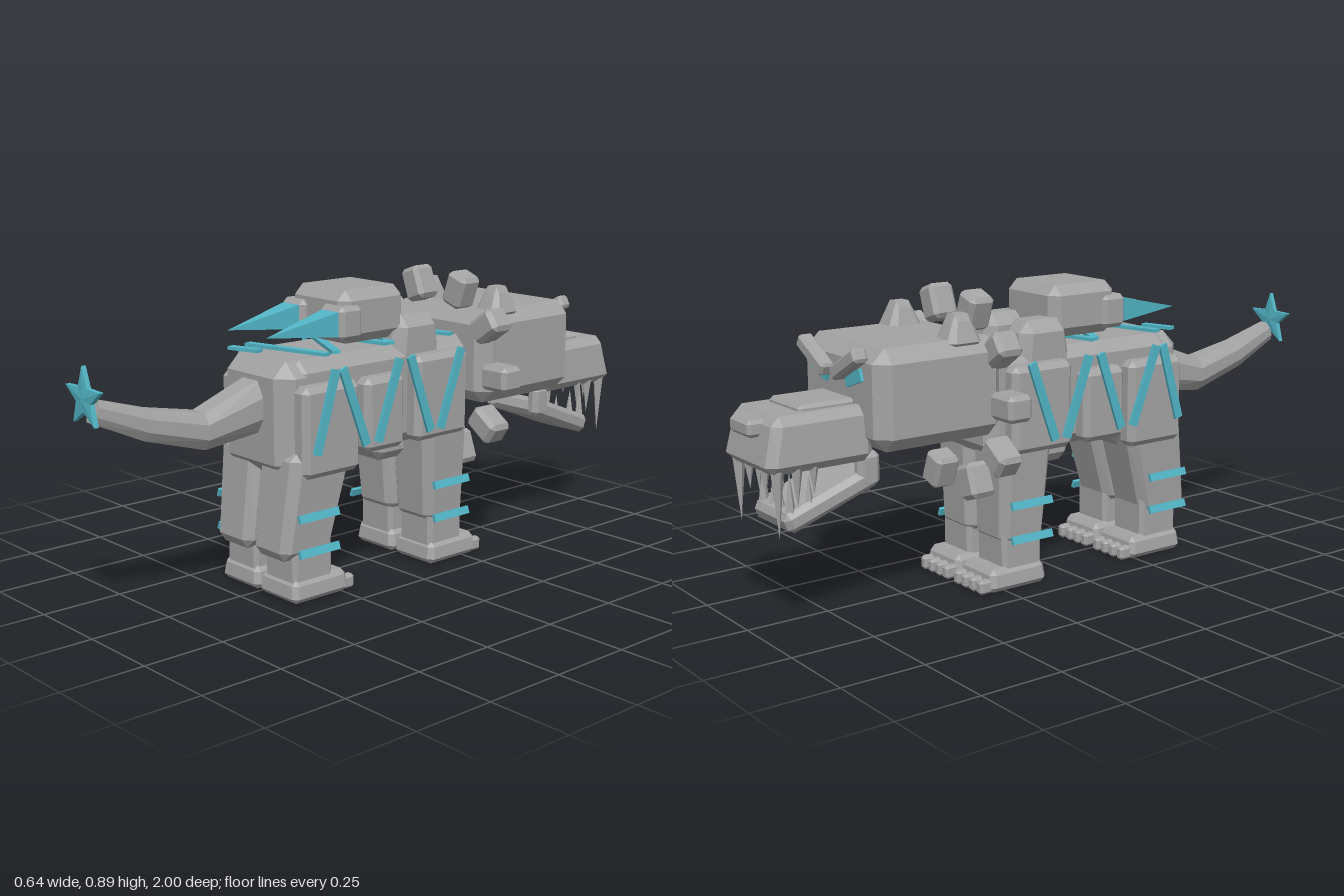
import * as THREE from 'three';
import { ConvexGeometry } from 'three/addons/geometries/ConvexGeometry.js';

const grey = new THREE.MeshStandardMaterial({ color: 0xa3a3a3 });
grey.name = 'armour grey';
const teal = new THREE.MeshStandardMaterial({ color: 0x52b5c6 });
teal.name = 'energy teal';

export function createModel() {
  const model = new THREE.Group();
  model.name = 'mechanicalBeast';

  const add = (name, geo, mat, pos = [0, 0, 0], rot = [0, 0, 0]) => {
    const m = new THREE.Mesh(geo, mat);
    m.name = name;
    m.position.set(...pos);
    m.rotation.set(...rot);
    model.add(m);
    return m;
  };

  // Box with bevelled edges; warp may move each corner point
  const bevel = (w, h, d, c, warp) => {
    const pts = [];
    const [a, b, e] = [w / 2, h / 2, d / 2];
    for (const x of [-1, 1]) for (const y of [-1, 1]) for (const z of [-1, 1]) {
      for (const [p, q, r] of [[0, c, c], [c, 0, c], [c, c, 0]]) {
        const v = new THREE.Vector3(x * (a - p), y * (b - q), z * (e - r));
        if (warp) warp(v);
        pts.push(v);
      }
    }
    return new ConvexGeometry(pts);
  };

  // Bevelled box given by its x, y and z ranges
  const block = (name, x, y, z, c, warp) => add(name,
    bevel(x[1] - x[0], y[1] - y[0], z[1] - z[0], c, warp), grey,
    [(x[0] + x[1]) / 2, (y[0] + y[1]) / 2, (z[0] + z[1]) / 2]);
  // The same on both sides
  const pair = (name, x, y, z, c, warp) => {
    block(name + 'Left', x, y, z, c, warp);
    block(name + 'Right', [-x[1], -x[0]], y, z, c, warp && (v => {
      v.x *= -1; warp(v); v.x *= -1;
    }));
  };
  // Flat teal bar between two points
  const bar = (name, a, b, w, t, axis) => {
    const p = new THREE.Vector3(...a), q = new THREE.Vector3(...b);
    const dir = q.clone().sub(p), n = new THREE.Vector3(...axis);
    const m = add(name, new THREE.BoxGeometry(w, dir.length(), t), teal);
    dir.normalize();
    m.quaternion.setFromRotationMatrix(new THREE.Matrix4().makeBasis(dir.clone().cross(n), dir, n));
    m.position.copy(p.add(q).multiplyScalar(0.5));
  };

  // Torso
  block('torso', [-0.15, 0.15], [0.4, 0.7], [-0.29, 0.4], 0.035);
  block('rump', [-0.15, 0.15], [0.36, 0.7], [0.18, 0.45], 0.045);
  block('belly', [-0.1, 0.1], [0.34, 0.43], [-0.085, 0.05], 0.03);
  pair('hipPlate', [0.13, 0.197], [0.37, 0.635], [0.2, 0.41], 0.018);
  pair('flankPlate', [0.13, 0.197], [0.41, 0.63], [0.025, 0.18], 0.018);
  pair('shoulderPlate', [0.13, 0.197], [0.41, 0.67], [-0.235, -0.02], 0.018);
  pair('shoulderHump', [0.025, 0.15], [0.6, 0.785], [-0.18, 0.025], 0.035, v => {
    if (v.y > 0) v.z *= 0.8;
  });

  // Back pack with two spikes
  block('backPack', [-0.125, 0.125], [0.72, 0.876], [-0.042, 0.205], 0.03);
  pair('spikeMount', [0.037, 0.138], [0.735, 0.835], [0.14, 0.226], 0.014);
  for (const s of [-1, 1]) {
    add('backSpike', new ConvexGeometry([
      new THREE.Vector3(-0.036, -0.036, 0), new THREE.Vector3(0.036, -0.036, 0),
      new THREE.Vector3(-0.036, 0.036, 0), new THREE.Vector3(0.036, 0.036, 0),
      new THREE.Vector3(0, -0.016, 0.235),
    ]), teal, [s * 0.088, 0.785, 0.225]);
  }

  // Zigzag stripes on the flanks and along the back
  const flank = [[0.38, 0.31], [0.195, 0.285], [0.15, 0.067], [-0.06, 0.024], [-0.1, -0.185]];
  for (const s of [-1, 1]) for (const [low, high] of flank) {
    bar('flankStripe', [s * 0.21, 0.445, low], [s * 0.21, 0.68, high], 0.028, 0.009, [s, 0, 0]);
  }
  const back = [[-0.14, 0.35, 0.14, 0.28], [0.13, 0.24, -0.13, 0.11], [-0.14, 0.1, 0.13, 0.04],
    [0.13, 0.03, -0.13, -0.1], [-0.13, -0.14, 0.14, -0.21], [-0.13, 0.42, -0.03, 0.39]];
  for (const [x0, z0, x1, z1] of back) {
    bar('backStripe', [x0, 0.709, z0], [x1, 0.709, z1], 0.026, 0.01, [0, 1, 0]);
  }

  // Legs: upper leg, ankle, foot, toes and teal bands
  const leg = (name, top, low, ankle, foot, bandZ) => {
    const [zm, zl] = [(top[0] + top[1]) / 2, (low[0] + low[1]) / 2];
    pair(name + 'Upper', [0.005, 0.183], [0.13, 0.45], top, 0.028, v => {
      const t = (0.16 - v.y) / 0.32;
      v.z *= 1 + t * ((low[1] - low[0]) / (top[1] - top[0]) - 1);
      v.z += t * (zl - zm);
      if (v.x > 0) v.x -= t * 0.017;
    });
    pair(name + 'Ankle', [0.02, 0.16], [0.05, 0.2], ankle, 0.012);
    pair(name + 'Foot', [0.003, 0.175], [0.003, 0.072], foot, 0.016, v => {
      if (v.y > 0) { v.x *= 0.94; v.z *= 0.95; }
    });
    for (let i = 0; i < 4; i++) {
      const x = 0.03 + i * 0.039;
      pair(name + 'Toe', [x - 0.015, x + 0.015], [0.003, 0.045], [foot[0] - 0.03, foot[0] + 0.02], 0.008);
    }
    for (const s of [-1, 1]) for (const [x, y] of [[0.189, 0.262], [0.19, 0.159]]) {
      add(name + 'Band', new THREE.BoxGeometry(0.011, 0.024, 0.145), teal, [s * x, y, bandZ], [0, 0, s * 0.35]);
    }
  };
  leg('hindLeg', [0.2, 0.43], [0.29, 0.468], [0.28, 0.425], [0.228, 0.437], 0.358);
  leg('frontLeg', [-0.262, -0.075], [-0.255, -0.1], [-0.25, -0.11], [-0.305, -0.1], -0.17);

  // Tail: bevelled cross-sections joined piece by piece (z, y, half width, half height)
  const path = [[0.4, 0.575, 0.062, 0.078], [0.63, 0.522, 0.05, 0.053],
    [0.81, 0.567, 0.038, 0.042], [0.967, 0.627, 0.024, 0.03]];
  const ring = ([z, y, w, h], tilt) => [[-1, -0.4], [-0.55, -1], [0.55, -1], [1, -0.4],
    [1, 0.4], [0.55, 1], [-0.55, 1], [-1, 0.4]].map(([a, b]) =>
    new THREE.Vector3(a * w, y + b * h, z - b * h * tilt));
  const tilts = [-0.2, 0, 0.3, 0.4];
  for (let i = 0; i < 3; i++) {
    add('tailSegment', new ConvexGeometry([...ring(path[i], tilts[i]), ...ring(path[i + 1], tilts[i + 1])]), grey);
  }

  // Star on the tail tip, ridged on both faces
  const star = [];
  const corner = i => {
    const r = i % 2 ? 0.036 : 0.087, a = Math.PI / 2 + i * Math.PI / 5;
    return [r * Math.cos(a), r * Math.sin(a)];
  };
  for (let i = 0; i < 10; i++) {
    const [a, b] = corner(i), [c, d] = corner(i + 1);
    star.push(0, 0, 0.011, a, b, 0.007, c, d, 0.007, 0, 0, -0.011, c, d, -0.007, a, b, -0.007);
    star.push(a, b, 0.007, a, b, -0.007, c, d, -0.007, a, b, 0.007, c, d, -0.007, c, d, 0.007);
  }
  const starGeo = new THREE.BufferGeometry();
  starGeo.setAttribute('position', new THREE.Float32BufferAttribute(star, 3));
  starGeo.computeVertexNormals();
  add('tailStar', starGeo, teal, [0, 0.665, 0.989]);

  // Mane: blocks set around the neck
  for (const deg of [0, 35, 70, 110, 145, 180, 215, 250, 290, 325]) {
    const a = THREE.MathUtils.degToRad(deg);
    add('maneBlock', bevel(0.105, 0.077, 0.082, 0.013), grey,
      [0.266 * Math.cos(a), 0.58 + 0.266 * Math.sin(a), -0.3], [0, 0, a]);
  }

  // Head with ears, brows and eyes
  block('head', [-0.215, 0.215], [0.485, 0.77], [-0.692, -0.275], 0.04);
  pair('ear', [0.1, 0.2], [0.74, 0.838], [-0.455, -0.34], 0.02, v => {
    if (v.y > 0) { v.x *= 0.6; v.z *= 0.55; }
  });
  for (const s of [-1, 1]) {
    add('brow', bevel(0.15, 0.042, 0.045, 0.008), grey, [s * 0.09, 0.722, -0.713], [0, 0, s * 0.5]);
    add('eye', new THREE.BoxGeometry(0.085, 0.035, 0.009), teal, [s * 0.09, 0.682, -0.697], [0, 0, s * 0.35]);
  }

  // Muzzle and nose
  block('muzzle', [-0.138, 0.138], [0.455, 0.61], [-0.985, -0.66], 0.025, v => {
    if (v.y > 0) { v.x *= 0.93; if (v.z < 0) v.z += 0.025; }
  });
  block('muzzlePlate', [-0.087, 0.087], [0.59, 0.626], [-0.865, -0.69], 0.01);
  block('nose', [-0.057, 0.057], [0.55, 0.597], [-1, -0.94], 0.01);

  // Lower jaw, hanging open
  pair('jawHinge', [0.07, 0.115], [0.375, 0.475], [-0.7, -0.63], 0.015);
  add('lowerJaw', bevel(0.23, 0.06, 0.29, 0.016, v => {
    if (v.z < 0) v.x *= 0.85;
  }), grey, [0, 0.355, -0.78], [-0.37, 0, 0]);

  // Teeth: four-sided fangs, up or down
  const tooth = (name, x, y, z, r, len) => add(name, new THREE.ConeGeometry(r, Math.abs(len), 4).toNonIndexed(),
    grey, [x, y + len / 2, z], [len < 0 ? Math.PI : 0, 0, 0]).geometry.computeVertexNormals();
  for (const s of [-1, 1]) {
    tooth('sabreFang', s * 0.11, 0.465, -0.948, 0.02, -0.185);
    tooth('upperTooth', s * 0.11, 0.465, -0.89, 0.018, -0.11);
    tooth('upperTooth', s * 0.11, 0.465, -0.84, 0.016, -0.08);
    tooth('upperTooth', s * 0.045, 0.465, -0.95, 0.016, -0.08);
    tooth('lowerFang', s * 0.075, 0.32, -0.895, 0.019, 0.13);
    tooth('lowerTooth', s * 0.08, 0.345, -0.84, 0.016, 0.09);
    tooth('lowerTooth', s * 0.027, 0.32, -0.895, 0.015, 0.07);
  }

  return model;
}
